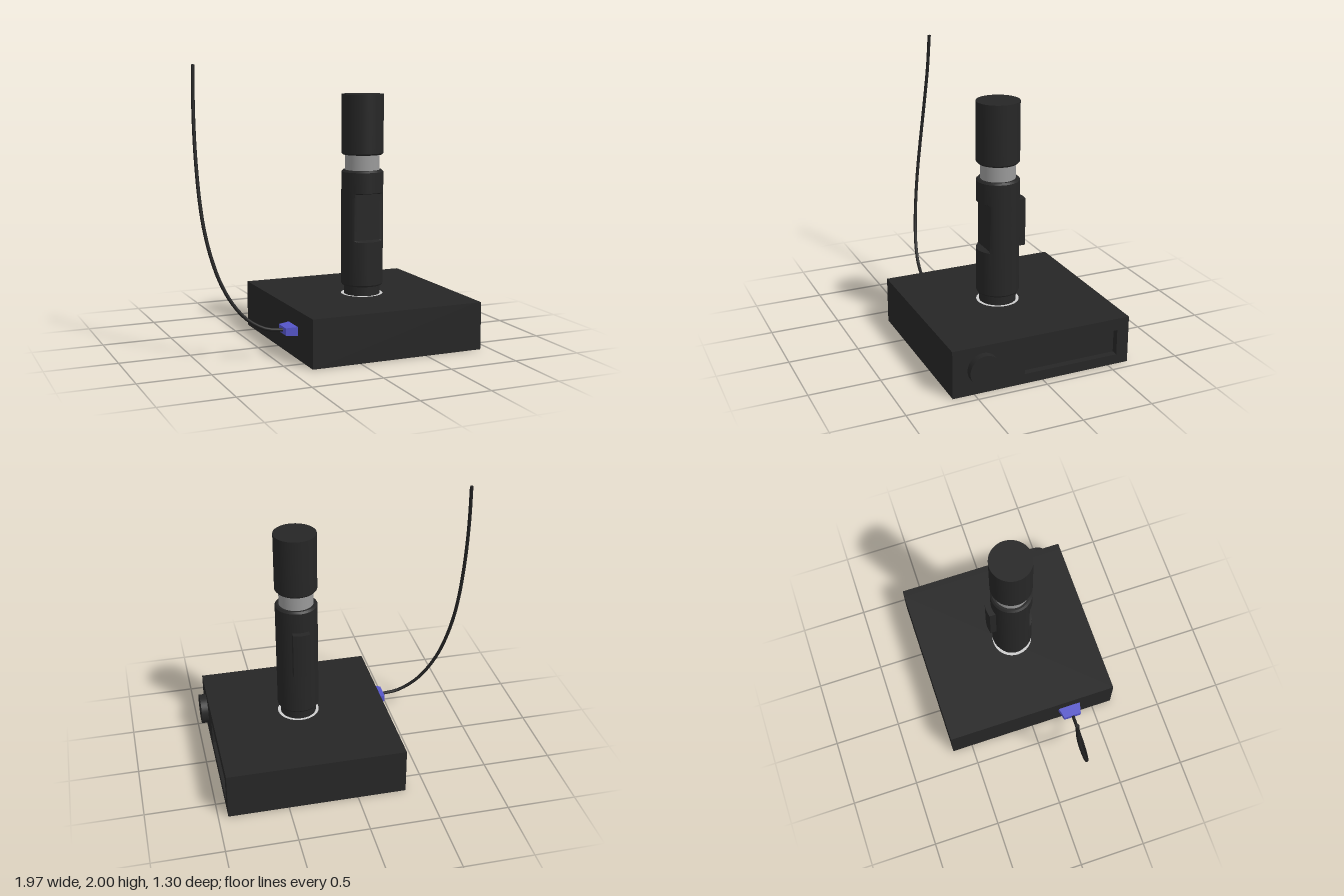
import * as THREE from 'three';
import { toCreasedNormals } from 'three/addons/utils/BufferGeometryUtils.js';

const black = new THREE.MeshStandardMaterial({ color: 0x262626 });
const cableBlack = new THREE.MeshStandardMaterial({ color: 0x222222 });
const silver = new THREE.MeshStandardMaterial({ color: 0x999999 });
const pale = new THREE.MeshStandardMaterial({ color: 0xcccccc });
const blue = new THREE.MeshStandardMaterial({ color: 0x5555c8 });

function add(parent, name, geometry, material, x = 0, y = 0, z = 0) {
  const mesh = new THREE.Mesh(geometry, material);
  mesh.name = name;
  mesh.position.set(x, y, z);
  parent.add(mesh);
  return mesh;
}

// Turned part from [radius, height] pairs, with sharp steps kept crisp
function turned(profile, rule) {
  const geo = new THREE.LatheGeometry(profile.map(([r, y]) => new THREE.Vector2(r, y)), 72);
  if (rule) {
    const p = geo.attributes.position;
    const v = new THREE.Vector3();
    for (let i = 0; i < p.count; i++) {
      rule(v.fromBufferAttribute(p, i));
      p.setXYZ(i, v.x, v.y, v.z);
    }
  }
  return toCreasedNormals(geo, 0.4);
}

function rectPath(path, x0, y0, x1, y1) {
  path.moveTo(x0, y0);
  path.lineTo(x1, y0);
  path.lineTo(x1, y1);
  path.lineTo(x0, y1);
  path.closePath();
  return path;
}

function buildBase() {
  const base = new THREE.Group();
  base.name = 'base';
  const depth = 0.05;
  add(base, 'housing', new THREE.BoxGeometry(1.28 - depth, 0.34, 1.305), black, 0.29 - depth / 2, 0.17, 0);

  // Side wall with a recessed window; shape x runs towards -z
  const wall = rectPath(new THREE.Shape(), -0.6525, 0, 0.6525, 0.34);
  wall.holes.push(rectPath(new THREE.Path(), -0.135, 0.07, 0.565, 0.255));
  const wallGeo = new THREE.ExtrudeGeometry(wall, { depth, bevelEnabled: false });
  wallGeo.rotateY(Math.PI / 2);
  add(base, 'sideWall', wallGeo, black, 0.93 - depth, 0, 0);

  // Control knob
  const knob = new THREE.CylinderGeometry(0.11, 0.11, 0.06, 48);
  knob.rotateZ(-Math.PI / 2);
  add(base, 'knob', knob, black, 0.95, 0.18, 0.437);
  return base;
}

function buildColumn() {
  const column = new THREE.Group();
  column.name = 'column';
  column.position.set(0.288, 0, 0.045);

  const ring = new THREE.RingGeometry(0.13, 0.151, 72);
  ring.rotateX(-Math.PI / 2);
  add(column, 'collarRing', ring, pale, 0, 0.342, 0);
  add(column, 'lowerNeck', new THREE.CylinderGeometry(0.13, 0.13, 0.1, 64, 1, true), black, 0, 0.38, 0);

  // Handle with a flat cut into its front
  const handle = turned(
    [[0, 0.41], [0.145, 0.41], [0.151, 0.42], [0.151, 0.735], [0.151, 0.745],
      [0.151, 1.075], [0.151, 1.085], [0.151, 1.232], [0.138, 1.245], [0, 1.245]],
    (v) => { if (v.y > 0.74 && v.y < 1.08) v.z = Math.min(v.z, 0.104); }
  );
  add(column, 'handle', handle, black);

  add(column, 'upperNeck', new THREE.CylinderGeometry(0.123, 0.123, 0.13, 64, 1, true), silver, 0, 1.3, 0);
  add(column, 'cap', turned([[0, 1.355], [0.142, 1.355], [0.151, 1.366], [0.151, 1.785], [0, 1.785]]), black);

  // Rear switch with a slightly crowned face
  const key = new THREE.Shape();
  key.moveTo(-0.061, 0.12);
  key.lineTo(0.061, 0.12);
  key.lineTo(0.061, 0.183);
  key.quadraticCurveTo(0, 0.203, -0.061, 0.183);
  key.closePath();
  const keyGeo = new THREE.ExtrudeGeometry(key, { depth: 0.34, bevelEnabled: false, curveSegments: 8 });
  keyGeo.rotateX(-Math.PI / 2);
  add(column, 'rearSwitch', keyGeo, black, 0, 0.74, 0);
  return column;
}

function buildCable() {
  const cable = new THREE.Group();
  cable.name = 'cable';

  // Tapered plug, narrower away from the base
  const plug = new THREE.BoxGeometry(0.085, 0.064, 0.174);
  const p = plug.attributes.position;
  for (let i = 0; i < p.count; i++) {
    if (p.getX(i) < 0) p.setXYZ(i, p.getX(i), p.getY(i) * 0.8, p.getZ(i) * 0.76);
  }
  plug.computeVertexNormals();
  add(cable, 'plug', plug, blue, -0.388, 0.195, 0.3);

  const path = new THREE.CatmullRomCurve3([
    [-0.42, 0.195, 0.304], [-0.55, 0.213, 0.3], [-0.68, 0.288, 0.287], [-0.775, 0.4, 0.267],
    [-0.85, 0.545, 0.241], [-0.905, 0.72, 0.212], [-0.942, 0.91, 0.182], [-0.961, 1.1, 0.153],
    [-0.97, 1.3, 0.124], [-0.973, 1.5, 0.097], [-0.97, 1.75, 0.069], [-0.963, 2, 0.053]
  ].map((a) => new THREE.Vector3(...a)));
  add(cable, 'cord', new THREE.TubeGeometry(path, 44, 0.0125, 10), cableBlack);
  const end = new THREE.CircleGeometry(0.0125, 10);
  end.rotateX(-Math.PI / 2);
  add(cable, 'cordEnd', end, cableBlack, -0.963, 2, 0.053);
  return cable;
}

export function createModel() {
  const model = new THREE.Group();
  model.name = 'joystick';
  model.add(buildBase(), buildColumn(), buildCable());
  return model;
}
